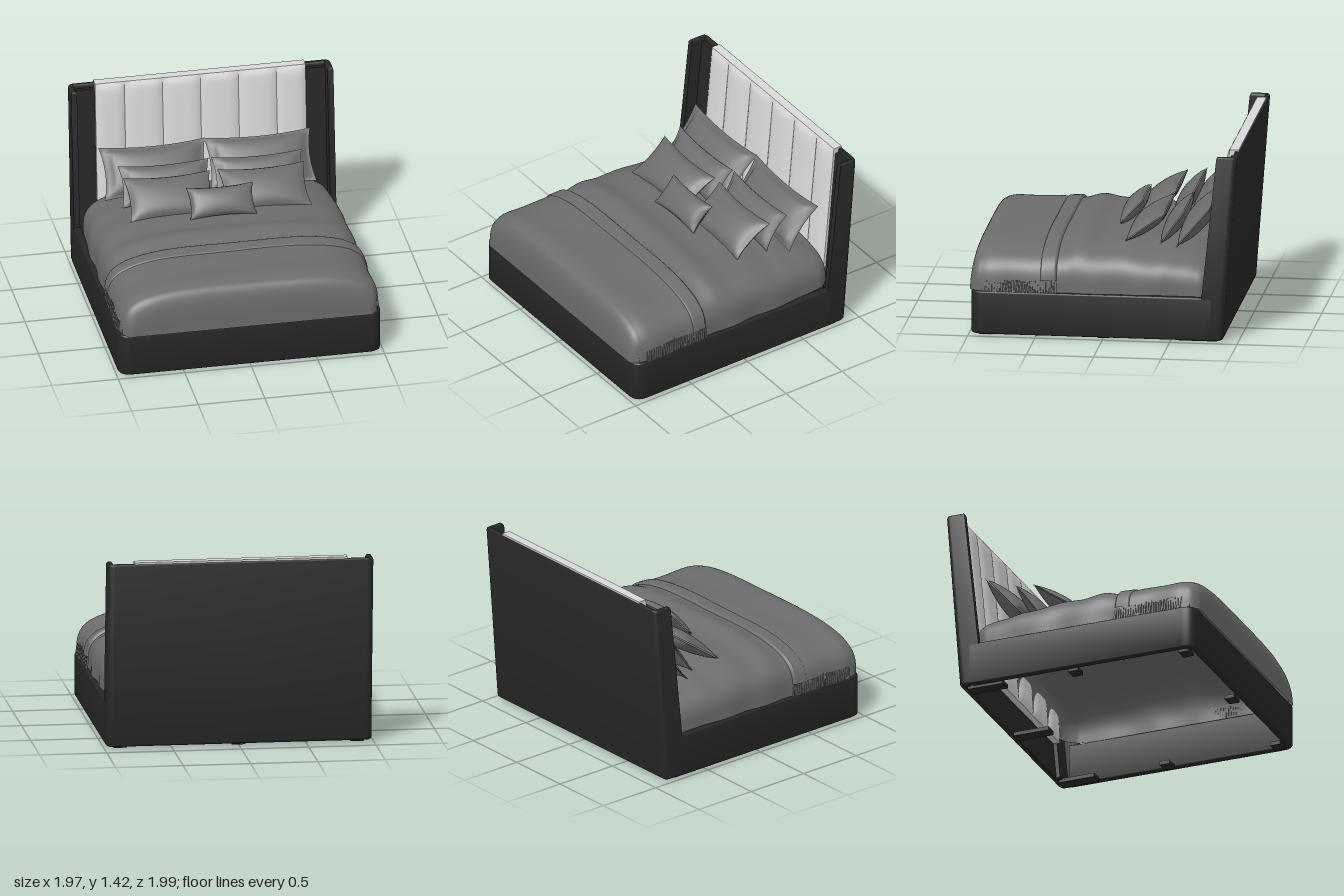
import * as THREE from 'three';
import { toCreasedNormals } from 'three/addons/utils/BufferGeometryUtils.js';

const { lerp, clamp } = THREE.MathUtils;

// Smooth interpolation through [position, value] pairs
function sample(points, z) {
  for (let i = 1; i < points.length; i++) {
    const [z0, a] = points[i - 1], [z1, b] = points[i];
    if (z <= z1) return lerp(a, b, THREE.MathUtils.smoothstep(z, z0, z1));
  }
  return points[points.length - 1][1];
}

// Surface from a rule p(u, v) -> [x, y, z], u and v in 0..1
function grid(p, nu, nv) {
  const pos = [], idx = [];
  for (let j = 0; j <= nv; j++)
    for (let i = 0; i <= nu; i++) {
      pos.push(...p(i / nu, j / nv));
      if (i < nu && j < nv) {
        const a = j * (nu + 1) + i, c = a + nu + 1;
        idx.push(a, a + 1, c + 1, a, c + 1, c);
      }
    }
  const g = new THREE.BufferGeometry();
  g.setAttribute('position', new THREE.Float32BufferAttribute(pos, 3));
  g.setIndex(idx);
  g.computeVertexNormals();
  return g;
}

// Move every vertex by a rule
function deform(g, rule) {
  const p = g.attributes.position, v = new THREE.Vector3();
  for (let i = 0; i < p.count; i++) {
    rule(v.fromBufferAttribute(p, i));
    p.setXYZ(i, v.x, v.y, v.z);
  }
  g.computeVertexNormals();
  return g;
}

// Headboard lean: depth 0 (front) .. -1 (back) becomes z, tapering upward
function lean(v) {
  const t = (v.y - 0.02) / 1.39;
  v.z = lerp(lerp(-0.70, -0.845, t), lerp(-0.89, -0.995, t), -v.z);
}

// Extrude a plan outline upward from y0 to y1 with softened edges
function rise(shape, y0, y1, bevel) {
  const g = new THREE.ExtrudeGeometry(shape, {
    depth: y1 - y0 - 2 * bevel, bevelSize: bevel, bevelThickness: bevel,
    bevelOffset: -bevel, bevelSegments: 4, curveSegments: 10,
  });
  return g.rotateX(-Math.PI / 2).translate(0, y0 + bevel, 0);
}

// Bedding surface: superellipse sections, closing at foot and head
const TOP = [[-0.82, 0.60], [-0.6, 0.645], [-0.4, 0.67], [-0.1, 0.70], [0.05, 0.695],
  [0.2, 0.72], [0.35, 0.685], [0.5, 0.672], [0.9, 0.672]];
const WIDTH = [[-0.82, 0.87], [-0.7, 0.92], [-0.4, 0.95], [0.3, 0.96], [0.9, 0.965]];
function bedding(a, z, off = 0) {
  const s = clamp(Math.max((z - 0.85) / 0.145, (-0.74 - z) / 0.08), 0, 1);
  const h = (sample(TOP, z) - 0.335 + off) * Math.cbrt(1 - s ** 4);
  const w = (sample(WIDTH, z) + off) * (1 - 0.07 * s ** 4);
  const c = Math.cos(a), up = Math.max(0, Math.sin(a)) ** 0.55;
  let x = w * Math.sign(c) * Math.abs(c) ** 0.55;
  x += Math.sign(c) * 0.007 * Math.sin(z * 17) * (1 - up) * (1 - s);
  const wrinkle = 0.005 * Math.sin(4 * x + 14 * z) * Math.sin(5 * z - 3 * x) * up * (1 - s);
  return [x, 0.335 + h * up + wrinkle, z];
}

// Pillow with pinched edges, poking corners and a thin flange
function pillowGeometry(w, h, thick, flange, side) {
  return grid((i, j) => {
    const u = (i * 2 - 1) * side, v = j * 2 - 1;
    const fu = clamp(u / flange, -1, 1), fv = clamp(v / flange, -1, 1);
    const t = thick * ((1 - fu * fu) * (1 - fv * fv)) ** 0.42 + 0.003;
    return [u * w / 2 * (1 - 0.07 * (1 - v * v)), v * h / 2 * (1 - 0.13 * (1 - u * u)), side * t];
  }, 28, 22);
}

export function createModel() {
  const model = new THREE.Group();
  const mat = (name, color, side = THREE.FrontSide) => {
    const m = new THREE.MeshStandardMaterial({ color, side });
    m.name = name;
    return m;
  };
  const dark = mat('charcoal upholstery', 0x272727);
  const pale = mat('pale upholstery', 0xd8d8d8);
  const grey = mat('grey linen', 0x6c6c6c, THREE.DoubleSide);
  const add = (name, geometry, material, parent = model) => {
    const m = new THREE.Mesh(geometry, material);
    m.name = name;
    parent.add(m);
    return m;
  };
  const group = (name) => {
    const g = new THREE.Group();
    g.name = name;
    model.add(g);
    return g;
  };

  // Hollow base frame, rounded at the foot (plan y is -z)
  const X = 0.985, R = 0.1;
  const base = new THREE.Shape();
  base.moveTo(-X, 0.8).lineTo(-X, -X + R);
  base.quadraticCurveTo(-X, -X, -X + R, -X).lineTo(X - R, -X);
  base.quadraticCurveTo(X, -X, X, -X + R).lineTo(X, 0.8);
  base.lineTo(0.93, 0.8).lineTo(0.93, -0.88);
  base.quadraticCurveTo(0.93, -0.93, 0.88, -0.93).lineTo(-0.88, -0.93);
  base.quadraticCurveTo(-0.93, -0.93, -0.93, -0.88).lineTo(-0.93, 0.8);
  add('baseFrame', toCreasedNormals(rise(base, 0.015, 0.338, 0.012), 0.6), dark);

  // Leaning headboard shell: back panel with two side wings
  const D = 0.18, r = 0.05, T = 0.045;
  const shell = new THREE.Shape();
  shell.moveTo(-X, 0).lineTo(-X + T, 0).lineTo(-X + T, D - T).lineTo(X - T, D - T);
  shell.lineTo(X - T, 0).lineTo(X, 0).lineTo(X, D - r);
  shell.quadraticCurveTo(X, D, X - r, D).lineTo(-X + r, D);
  shell.quadraticCurveTo(-X, D, -X, D - r);
  const shellGeo = deform(rise(shell, 0.015, 1.412, 0.02), (v) => { v.z /= D; lean(v); });
  add('headboardShell', toCreasedNormals(shellGeo, 0.6), dark);

  // Recessed dark panels beside the channels
  for (const s of [-1, 1]) {
    const g = new THREE.BoxGeometry(0.17, 1.36, 0.35).translate(s * 0.867, 0.7, -0.765);
    add('headboardSidePanel', deform(g, lean), dark);
  }

  // Padded vertical channels
  const seams = [-0.79, -0.57, -0.285, 0, 0.285, 0.57, 0.79];
  const channels = group('headboardChannels');
  for (let i = 0; i < 6; i++) {
    const w = seams[i + 1] - seams[i], h = 1.125, cx = (seams[i] + seams[i + 1]) / 2;
    const g = new THREE.BoxGeometry(w, h, 0.48, 14, 40, 4).translate(0, 0, -0.7);
    deform(g, (v) => {
      const puff = (1 - (2 * v.x / w) ** 4) * (1 - (2 * v.y / h) ** 20);
      if (v.z > -0.5) v.z += 0.15 * puff - 0.02;
      v.x += cx;
      v.y += 0.862;
      lean(v);
    });
    add('channel', g, pale, channels);
  }

  // Low feet
  for (const x of [-0.88, 0, 0.88])
    for (const z of [-0.7, 0, 0.88]) {
      if (x === 0 && z === 0) continue;
      const len = z < 0 ? 0.28 : 0.08;
      add('foot', new THREE.BoxGeometry(0.1, 0.03, len).translate(x, 0.015, z), dark);
    }

  // Duvet draped over the mattress, open below
  add('duvet', grid((u, v) => bedding(u * Math.PI,
    0.0875 + 0.9075 * Math.sin((v - 0.5) * Math.PI)), 64, 96), grey);

  // Throw across the foot, with a folded band on its upper edge
  const throwLayer = (name, z0, z1, off) => add(name, grid((u, v) => bedding(
    lerp(0.09, Math.PI - 0.09, u), lerp(z0, z1, v),
    off * Math.min(1, 8 * Math.min(v, 1 - v) + 0.15)), 64, 30), grey);
  throwLayer('throw', 0.36, 0.91, 0.010);
  throwLayer('throwFold', 0.345, 0.47, 0.018);

  // Fringe hanging at both sides of the throw
  let seed = 7;
  const rand = () => (seed = (seed * 16807) % 2147483647) / 2147483647;
  const fringe = group('fringe');
  for (const s of [-1, 1])
    for (let i = 0; i < 30; i++) {
      const z = lerp(0.35, 0.93, i / 29), len = 0.075 + 0.035 * rand();
      const inset = z > 0.88 ? 0.02 : 0;
      const strand = add('strand', new THREE.BoxGeometry(0.012, len, 0.013), grey, fringe);
      strand.position.set(s * (sample(WIDTH, z) + 0.006 - inset), 0.335 + len / 2, z);
      strand.rotation.set(0.3 * (rand() - 0.5), 0, s * 0.12);
    }

  // Pillows: [name, x, y, z, width, height, half thickness, flange, tilt]
  const rows = [
    ['backPillow', 0.395, 0.815, -0.645, 0.80, 0.40, 0.075, 0.9, 0.70],
    ['middlePillow', 0.35, 0.785, -0.475, 0.68, 0.31, 0.06, 0.93, 0.62],
    ['frontPillow', 0.355, 0.782, -0.275, 0.65, 0.36, 0.065, 0.95, 0.95],
    ['lumbarPillow', 0, 0.788, -0.12, 0.50, 0.245, 0.06, 1, 0.75],
  ];
  for (const [name, x, y, z, w, h, t, flange, tilt] of rows)
    for (const s of x ? [-1, 1] : [1]) {
      const pillow = group(name);
      for (const side of [1, -1])
        add(side > 0 ? 'pillowFront' : 'pillowBack', pillowGeometry(w, h, t, flange, side), grey, pillow);
      pillow.position.set(s * x, y, z);
      pillow.rotation.x = -tilt;
    }

  return model;
}
